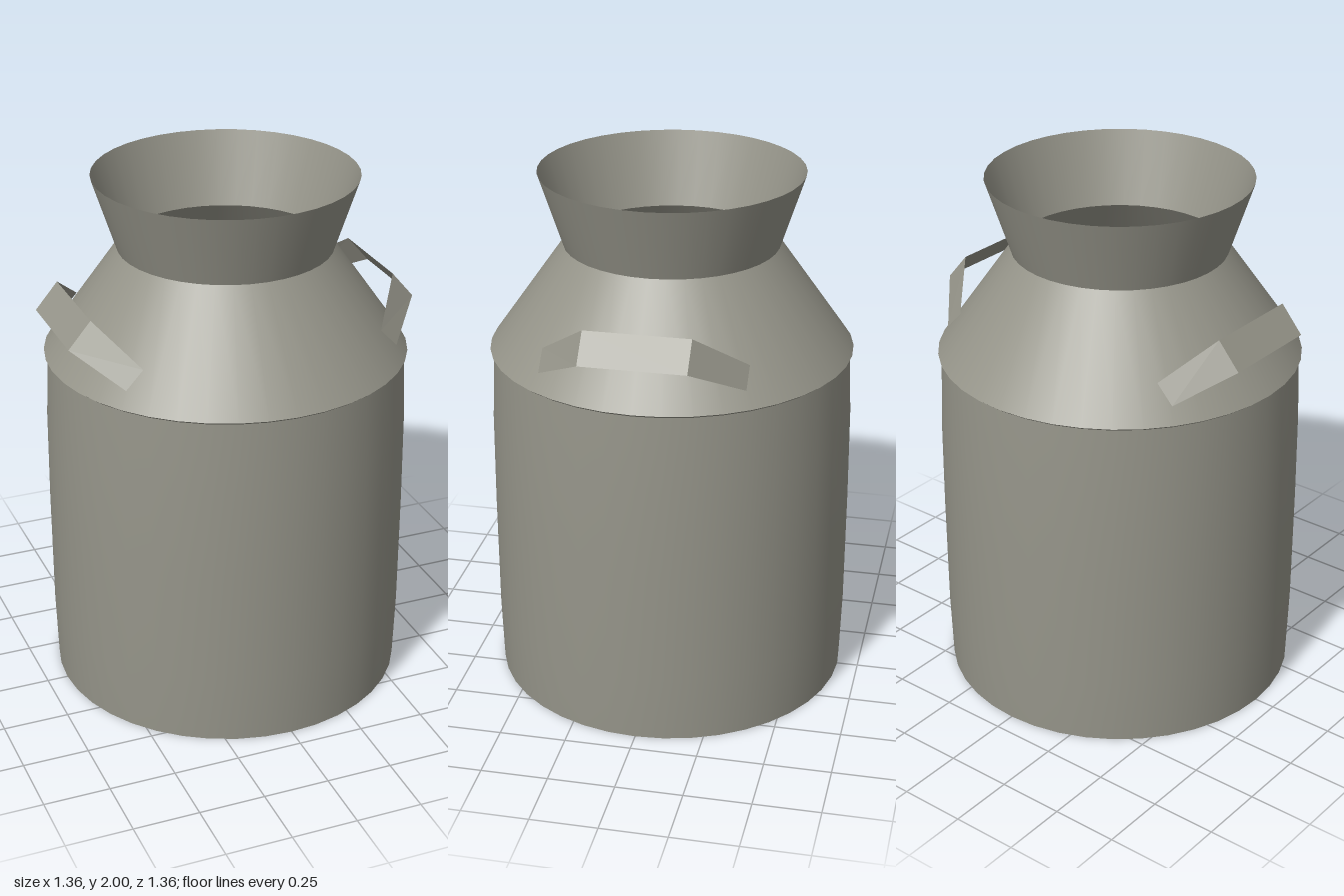
import * as THREE from 'three';

const SEGMENTS = 40;

export function createModel() {
  const can = new THREE.Group();
  can.name = 'milkCan';
  const metal = new THREE.MeshStandardMaterial({ color: 0x96958a, side: THREE.DoubleSide });
  metal.name = 'dull metal';

  const add = (name, geometry) => {
    const mesh = new THREE.Mesh(geometry, metal);
    mesh.name = name;
    can.add(mesh);
    return mesh;
  };
  const shell = (name, profile) =>
    add(name, new THREE.LatheGeometry(profile.map(([r, y]) => new THREE.Vector2(r, y)), SEGMENTS));

  // Open, thin-walled shells stacked from the ground up; separate parts keep the seams sharp
  shell('body', [[0.67, 0], [0.678, 0.25], [0.68, 0.7], [0.678, 1.05], [0.667, 1.32]]);
  shell('shoulderLip', [[0.667, 1.315], [0.68, 1.325]]);
  shell('shoulder', [[0.68, 1.325], [0.4, 1.725]]);
  shell('neck', [[0.4, 1.725], [0.49, 2]]);

  // Floor, visible from below and through the open neck
  const base = add('base', new THREE.CircleGeometry(0.67, SEGMENTS));
  base.rotation.x = Math.PI / 2;

  // Bent flat-strip handles: upper and lower edge at each bend, from front to back
  const bends = [
    [[0.46, 1.455, 0.375], [0.525, 1.385, 0.375]],
    [[0.59, 1.59, 0.195], [0.675, 1.49, 0.195]],
    [[0.59, 1.59, -0.195], [0.675, 1.49, -0.195]],
    [[0.46, 1.455, -0.375], [0.525, 1.385, -0.375]],
  ];
  for (const side of [1, -1]) {
    const corners = [];
    for (let i = 0; i < bends.length - 1; i++) {
      const [a, b] = bends[i];
      const [c, d] = bends[i + 1];
      const strip = side > 0 ? [a, b, d, a, d, c] : [a, d, b, a, c, d];
      for (const [x, y, z] of strip) corners.push(x * side, y, z);
    }
    const geometry = new THREE.BufferGeometry();
    geometry.setAttribute('position', new THREE.Float32BufferAttribute(corners, 3));
    geometry.computeVertexNormals();
    add(side > 0 ? 'leftHandle' : 'rightHandle', geometry);
  }
  return can;
}
